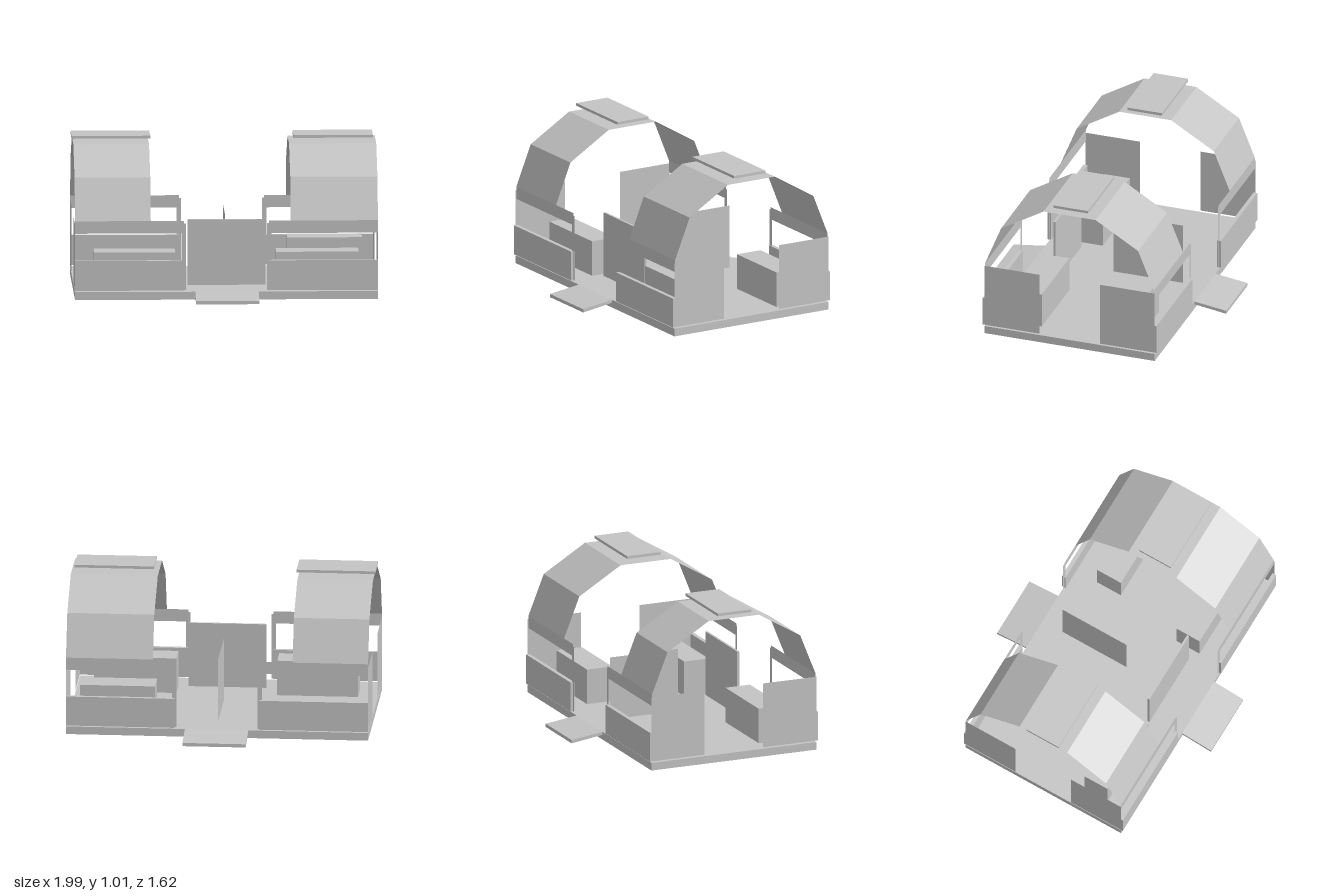
import * as THREE from 'three';

export function createModel() {
  const model = new THREE.Group();
  const grey = new THREE.MeshStandardMaterial({ color: 0xc4c4c4, flatShading: true, side: THREE.DoubleSide });
  grey.name = 'plain grey';

  const add = (name, geometry) => {
    const mesh = new THREE.Mesh(geometry, grey);
    mesh.name = name;
    model.add(mesh);
    return mesh;
  };

  // Box from its lower and upper limits on each axis
  const box = (name, x0, x1, y0, y1, z0, z1) =>
    add(name, new THREE.BoxGeometry(x1 - x0, y1 - y0, z1 - z0))
      .position.set((x0 + x1) / 2, (y0 + y1) / 2, (z0 + z1) / 2);

  // Sheet swept along x from a (z, y) profile
  const sheet = (name, x0, x1, profile) => {
    const points = [];
    for (let i = 0; i + 1 < profile.length; i++) {
      const [za, ya] = profile[i], [zb, yb] = profile[i + 1];
      points.push(x0, ya, za, x1, ya, za, x1, yb, zb, x0, ya, za, x1, yb, zb, x0, yb, zb);
    }
    const geometry = new THREE.BufferGeometry();
    geometry.setAttribute('position', new THREE.Float32BufferAttribute(points, 3));
    geometry.computeVertexNormals();
    return add(name, geometry);
  };

  // Upright wall facing sideways
  const sideWall = (name, x, y0, y1, z0, z1) => {
    const mesh = add(name, new THREE.PlaneGeometry(z1 - z0, y1 - y0));
    mesh.rotation.y = x < 0 ? -Math.PI / 2 : Math.PI / 2;
    mesh.position.set(x, (y0 + y1) / 2, (z0 + z1) / 2);
  };

  // Floor
  box('floor', -0.99, 0.99, 0.003, 0.055, -0.59, 0.59);

  // Sloping entrance ramps, front and back
  for (const s of [1, -1]) {
    const shape = new THREE.Shape([[0.59, 0.055], [0.59, 0.035], [0.81, 0.003], [0.81, 0.025]]
      .map(([z, y]) => new THREE.Vector2(-s * z, y)));
    const ramp = add('ramp', new THREE.ExtrudeGeometry(shape, { depth: 0.415, bevelEnabled: false }));
    ramp.rotation.y = Math.PI / 2;
    ramp.position.x = -0.205;
  }

  // Side panels, window rails, door posts and end walls at the four corners
  for (const x of [1, -1]) {
    for (const z of [1, -1]) {
      const span = (a, b) => [Math.min(x * a, x * b), Math.max(x * a, x * b)];
      const depth = (a, b) => [Math.min(z * a, z * b), Math.max(z * a, z * b)];
      box('sidePanel', ...span(0.278, 0.99), 0.065, 0.262, ...depth(0.575, 0.602));
      sheet('windowRail', ...span(0.278, 0.99), [[z * 0.585, 0.44], [z * 0.585, 0.522]]);
      sheet('doorPost', ...span(0.264, 0.295), [[z * 0.585, 0.065], [z * 0.585, 0.505]]);
      sideWall('endWall', x * 0.99, 0.065, 0.5, ...depth(0.21, 0.59));
    }
  }

  // Faceted roof arches
  const half = [[0.585, 0.522], [0.475, 0.795], [0.18, 0.972]];
  const arch = [...half, ...half.map(([z, y]) => [-z, y]).reverse()];
  sheet('leftRoofArch', 0.42, 0.99, arch);
  sheet('rightRoofArch', -0.99, -0.495, arch);

  // Roof plates above the arches
  box('leftRoofPlate', 0.45, 0.97, 1.0, 1.018, -0.12, 0.12);
  box('rightRoofPlate', -1.0, -0.485, 1.0, 1.018, -0.12, 0.12);

  // Benches
  box('leftFrontBench', 0.33, 0.87, 0.055, 0.29, 0.235, 0.41);
  box('rightFrontBench', -0.86, -0.33, 0.055, 0.29, 0.235, 0.41);
  box('leftBackBench', 0.42, 0.91, 0.055, 0.29, -0.42, -0.24);

  // Centre partitions
  box('frontScreen', -0.25, 0.26, 0.068, 0.5, 0.355, 0.37);
  sideWall('centrePartition', 0.005, 0.065, 0.487, -0.44, 0.045);

  return model;
}
